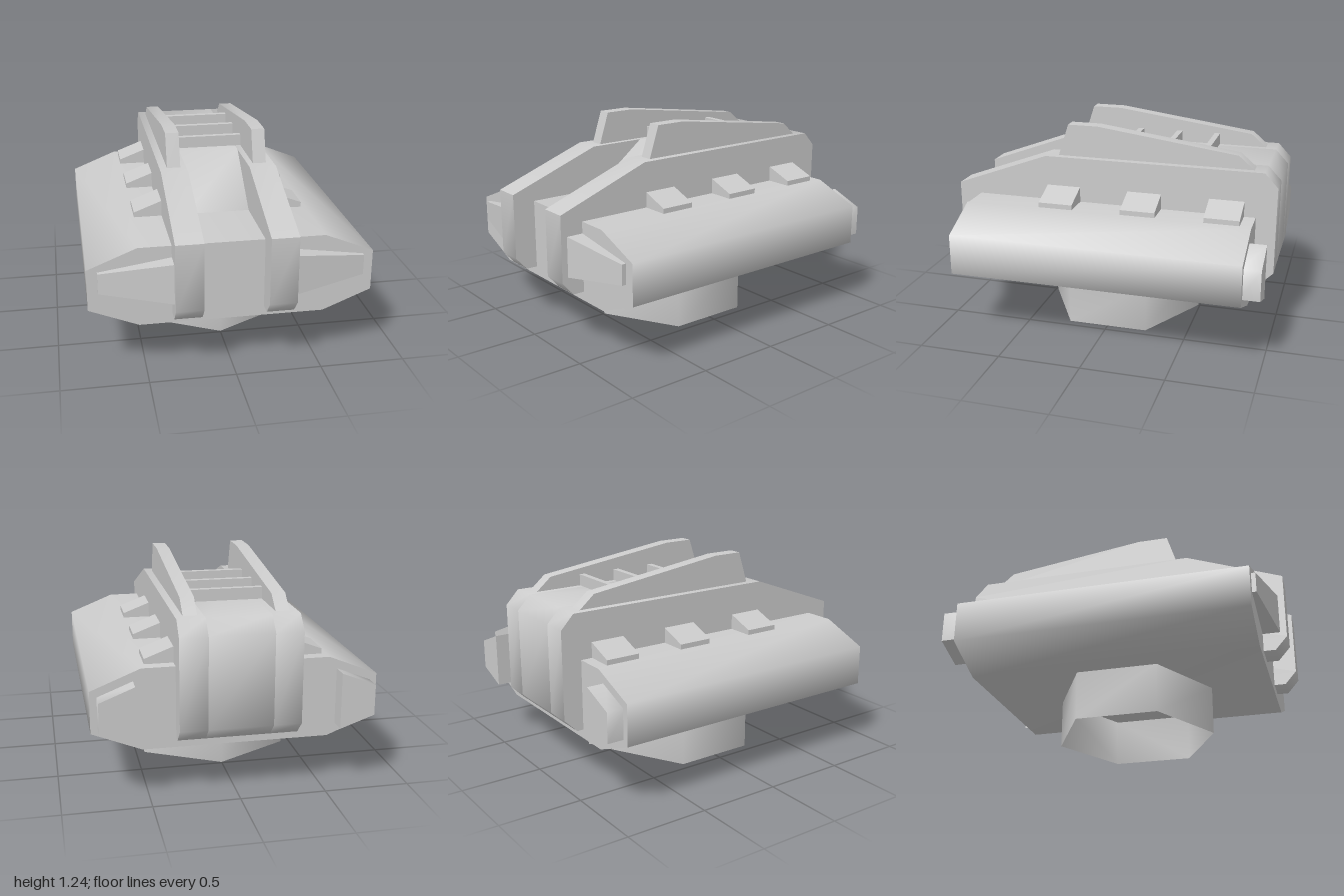
import * as THREE from 'three';
import { toCreasedNormals } from 'three/addons/utils/BufferGeometryUtils.js';

const material = new THREE.MeshStandardMaterial({ color: 0xcccccc });
const openMaterial = new THREE.MeshStandardMaterial({ color: 0xcccccc, side: THREE.DoubleSide });

function extrude(points, depth) {
  const shape = new THREE.Shape(points.map(([a, b]) => new THREE.Vector2(a, b)));
  return new THREE.ExtrudeGeometry(shape, { depth, bevelEnabled: false });
}

// Front profile of [x, y] points, extruded from z0 to z1
const alongZ = (points, z0, z1) => extrude(points, z1 - z0).translate(0, 0, z0);

// Side profile of [z, y] points, extruded from x0 to x1
const alongX = (points, x0, x1) => extrude(points, x1 - x0).rotateY(-Math.PI / 2).translate(x1, 0, 0);

export function createModel() {
  const model = new THREE.Group();
  const add = (name, geometry, mat = material) => {
    const mesh = new THREE.Mesh(toCreasedNormals(geometry, 1.2), mat);
    mesh.name = name;
    model.add(mesh);
  };

  // Wide eight-sided hull
  add('hull', alongZ([
    [-0.535, 0.295], [0.535, 0.295], [0.82, 0.41], [0.82, 0.655],
    [0.535, 0.77], [-0.535, 0.77], [-0.82, 0.655], [-0.82, 0.41],
  ], -0.88, 0.86));

  // Open six-sided collar beneath the hull
  add('collar', new THREE.CylinderGeometry(0.49, 0.49, 0.295, 6, 1, true)
    .scale(0.447 / (0.49 * Math.sin(Math.PI / 3)), 1, 1).translate(0, 0.1475, 0), openMaterial);

  // Raised centre, sloping down into the gap between the rails
  add('centreBlock', alongX([
    [-0.92, 0.35], [0.41, 0.35], [0.41, 0.77], [0.06, 1.045],
    [-0.92, 1.045], [-1, 0.96], [-1, 0.43],
  ], -0.185, 0.185));

  const railProfile = [
    [-0.92, 0.35], [0.93, 0.35], [1, 0.43], [1, 0.83],
    [0.42, 1.045], [-0.92, 1.045], [-1, 0.96], [-1, 0.43],
  ];
  const finProfile = [
    [-0.86, 1.04], [0.35, 1.04], [0.285, 1.24], [0.1, 1.24], [-0.76, 1.125],
  ];

  for (const side of [1, -1]) {
    const label = side > 0 ? 'left' : 'right';
    const span = (profile, inner, outer) =>
      side > 0 ? alongX(profile, inner, outer) : alongX(profile, -outer, -inner);
    const mirror = (points) => points.map(([x, y]) => [x * side, y]);

    add(label + 'Rail', span(railProfile, 0.185, 0.345));
    add(label + 'Fin', span(finProfile, 0.22, 0.3));

    // Small sloped blocks beside the rail
    for (const z of [-0.705, -0.205, 0.305]) {
      add(label + 'SideBlock', alongZ(
        mirror([[0.3, 0.76], [0.51, 0.76], [0.51, 0.8], [0.3, 0.88]]), z - 0.105, z + 0.105));
    }

    // Front wedge, tapering outward
    const wedge = new THREE.BoxGeometry(1, 1, 1);
    const p = wedge.attributes.position;
    for (let i = 0; i < p.count; i++) {
      const outer = p.getX(i) * side > 0;
      p.setXYZ(i,
        side * (outer ? 0.76 : 0.33),
        0.58 + p.getY(i) * (outer ? 0.12 : 0.245),
        p.getZ(i) > 0 ? (outer ? 0.885 : 0.965) : 0.84);
    }
    add(label + 'FrontWedge', wedge);

    // Rear pod
    add(label + 'RearPod', alongZ(
      mirror([[0.58, 0.37], [0.78, 0.44], [0.78, 0.62], [0.58, 0.7]]), -0.98, -0.86));
  }

  // Bars between the fins
  for (const z of [-0.54, -0.295, -0.04]) {
    add('crossBar', new THREE.BoxGeometry(0.46, 0.08, 0.035).translate(0, 1.075, z));
  }

  return model;
}
